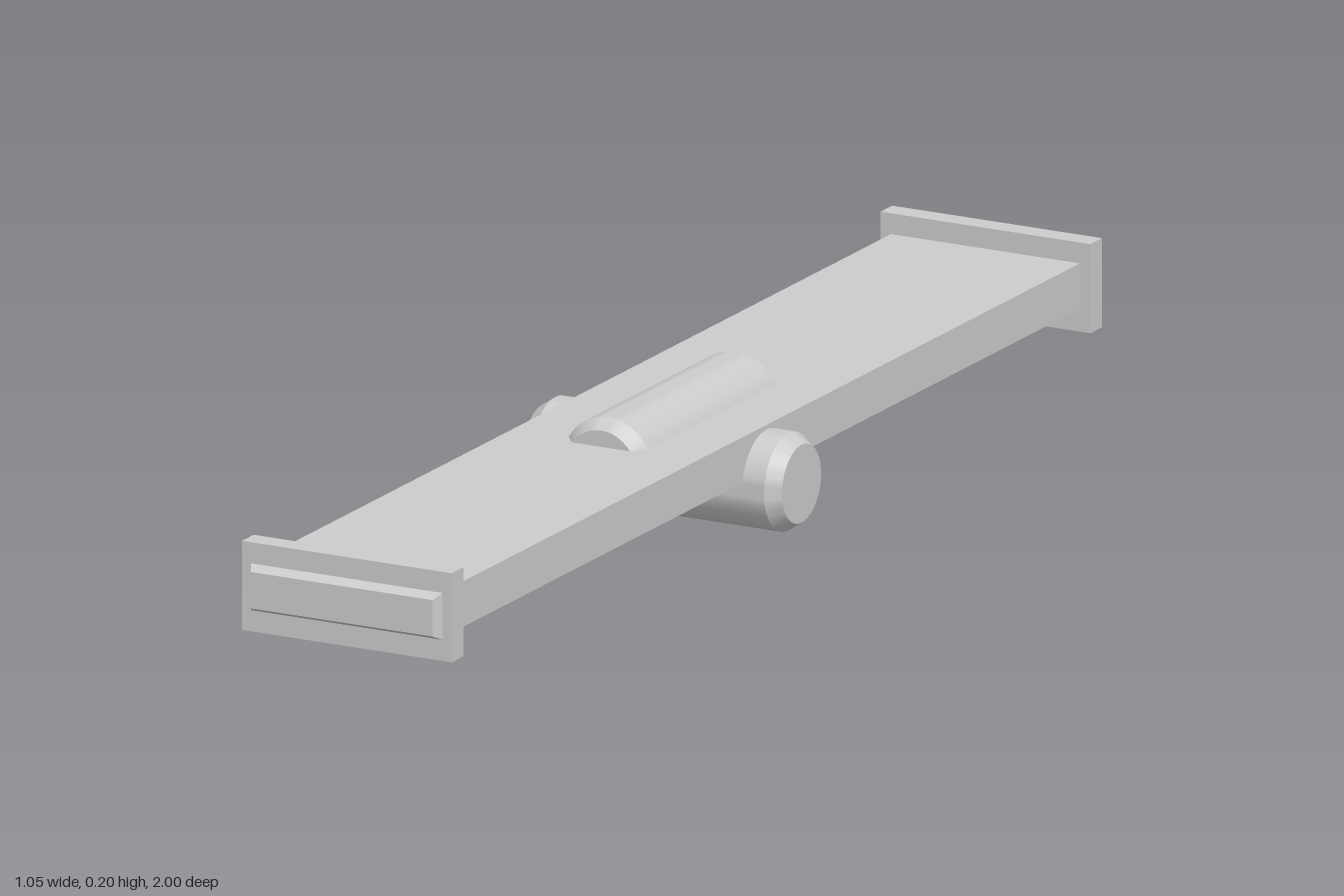
import * as THREE from 'three';
import { toCreasedNormals } from 'three/addons/utils/BufferGeometryUtils.js';

const material = new THREE.MeshStandardMaterial({ color: 0xcccccc });

function addMesh(parent, name, geometry, x = 0, y = 0, z = 0) {
  const mesh = new THREE.Mesh(geometry, material);
  mesh.name = name;
  mesh.position.set(x, y, z);
  parent.add(mesh);
  return mesh;
}

// Chamfered pin along y, with a shallow tapered recess in its lower end
function pinGeometry(radius, half) {
  const endRadius = 0.06, chamfer = 0.022;
  const profile = [
    [0, -half + 0.02], [0.05, -half + 0.02], [endRadius - 0.004, -half], [endRadius, -half],
    [radius, -half + chamfer], [radius, half - chamfer],
    [endRadius, half], [0, half],
  ].map(([x, y]) => new THREE.Vector2(x, y));
  return toCreasedNormals(new THREE.LatheGeometry(profile, 48), 0.5);
}

// Box whose +z face is inset on all four sides
function bevelledPanelGeometry(width, height, depth, inset) {
  const geometry = new THREE.BoxGeometry(width, height, depth);
  const p = geometry.attributes.position;
  for (let i = 0; i < p.count; i++) {
    if (p.getZ(i) > 0) {
      p.setX(i, p.getX(i) - Math.sign(p.getX(i)) * inset);
      p.setY(i, p.getY(i) - Math.sign(p.getY(i)) * inset);
    }
  }
  const flat = geometry.toNonIndexed();
  flat.computeVertexNormals();
  return flat;
}

export function createModel() {
  const model = new THREE.Group();
  model.name = 'crossPinnedBeam';

  // Everything is laid out along z, then turned in plan
  const assembly = new THREE.Group();
  assembly.name = 'assembly';
  assembly.rotation.y = 0.3715;
  model.add(assembly);

  addMesh(assembly, 'beam', new THREE.BoxGeometry(0.318, 0.07, 1.93), 0, 0.123, 0);

  // End plates with raised panels
  for (const [side, turn] of [['front', 0], ['back', Math.PI]]) {
    const end = new THREE.Group();
    end.name = side + 'End';
    end.rotation.y = turn;
    assembly.add(end);
    addMesh(end, side + 'Plate', new THREE.BoxGeometry(0.353, 0.137, 0.036), 0, 0.1215, 0.98);
    addMesh(end, side + 'Panel', bevelledPanelGeometry(0.322, 0.072, 0.016, 0.008), 0, 0.1215, 1.006);
  }

  // Lengthwise pin through the beam and crosswise pin beneath it
  const pin = pinGeometry(0.075, 0.218);
  addMesh(assembly, 'upperPin', pin, 0, 0.123, 0).rotation.x = Math.PI / 2;
  addMesh(assembly, 'lowerPin', pin, 0, 0.076, 0).rotation.z = -Math.PI / 2;

  return model;
}
